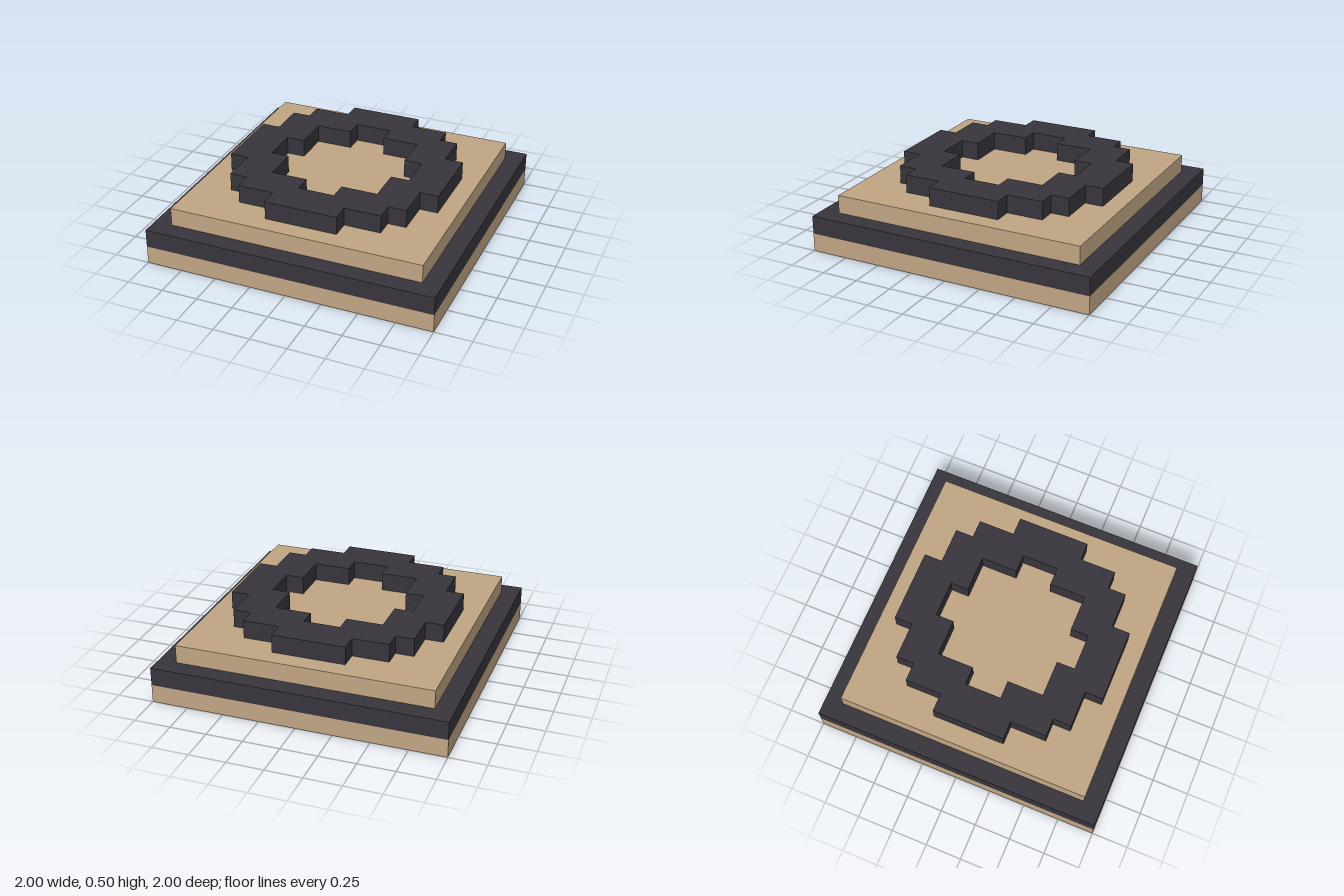
import * as THREE from 'three';

const U = 0.125; // one grid step; every layer is one step thick

// Repeat a quarter outline four times around the centre
function steppedLoop(quarter) {
  const points = [];
  for (let turn = 0; turn < 4; turn++) {
    for (const [a, b] of quarter) {
      let x = a, y = b;
      for (let i = 0; i < turn; i++) [x, y] = [-y, x];
      points.push(new THREE.Vector2(x * U, y * U));
    }
  }
  return points;
}

export function createModel() {
  const tan = new THREE.MeshStandardMaterial({ color: 0xc2a785 });
  tan.name = 'tan';
  const charcoal = new THREE.MeshStandardMaterial({ color: 0x38363d });
  charcoal.name = 'charcoal';

  const model = new THREE.Group();
  model.name = 'steppedPlinth';

  // Square slabs, from the ground up
  const slabs = [
    ['baseSlab', 2, tan],
    ['darkSlab', 2, charcoal],
    ['upperSlab', 1.75, tan],
  ];
  slabs.forEach(([name, width, material], i) => {
    const slab = new THREE.Mesh(new THREE.BoxGeometry(width, U, width), material);
    slab.name = name;
    slab.position.y = (i + 0.5) * U;
    model.add(slab);
  });

  // Blocky ring on top, with a stepped hole
  const outline = new THREE.Shape(
    steppedLoop([[6, 2], [5, 2], [5, 4], [4, 4], [4, 5], [2, 5], [2, 6]])
  );
  outline.holes.push(
    new THREE.Path(steppedLoop([[4, 1], [3, 1], [3, 3], [1, 3], [1, 4]]))
  );
  const ringGeometry = new THREE.ExtrudeGeometry(outline, { depth: U, bevelEnabled: false });
  ringGeometry.rotateX(-Math.PI / 2);
  const ring = new THREE.Mesh(ringGeometry, charcoal);
  ring.name = 'steppedRing';
  ring.position.y = 3 * U;
  model.add(ring);

  return model;
}
